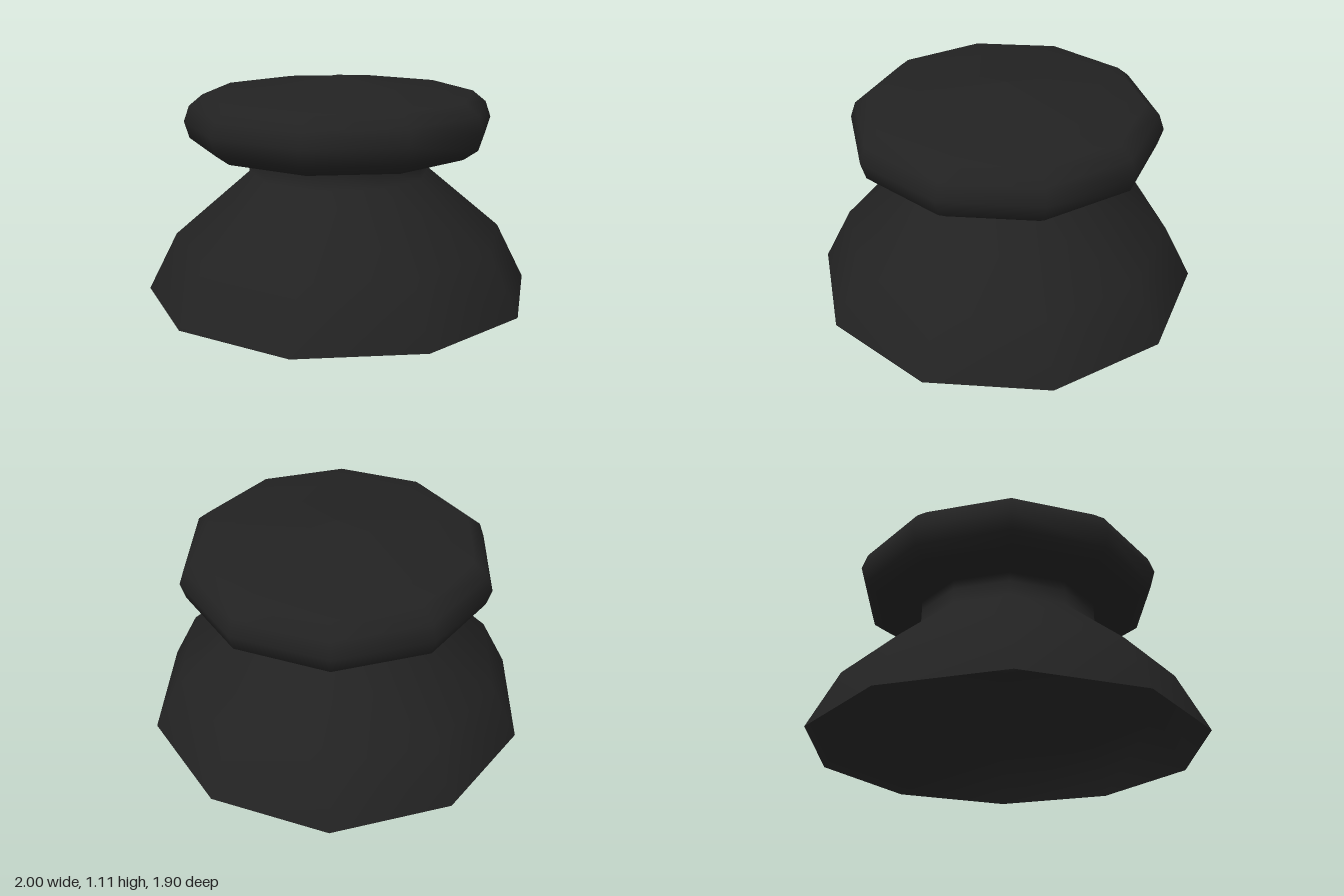
import * as THREE from 'three';

const SIDES = 10;

export function createModel() {
  const group = new THREE.Group();
  const black = new THREE.MeshStandardMaterial({ color: 0x222222, side: THREE.DoubleSide });
  black.name = 'black';

  // Ten-sided smooth shell turned from [radius, height] points, with corners on the x axis
  function turn(name, profile) {
    const points = profile.map(([r, y]) => new THREE.Vector2(r, y));
    const mesh = new THREE.Mesh(new THREE.LatheGeometry(points, SIDES, Math.PI / 2), black);
    mesh.name = name;
    group.add(mesh);
  }

  // Hollow flared skirt, open underneath, narrowing to the neck
  turn('flaredBase', [[1, 0], [0.85, 0.295], [0.467, 0.62], [0.465, 0.7]]);

  // Rounded knob growing out of the neck, with a shallow pointed top
  turn('knob', [
    [0.465, 0.7], [0.465, 0.747], [0.69, 0.747], [0.765, 0.8], [0.79, 0.885],
    [0.762, 0.965], [0.692, 1.022], [0.53, 1.025], [0, 1.113],
  ]);

  return group;
}
